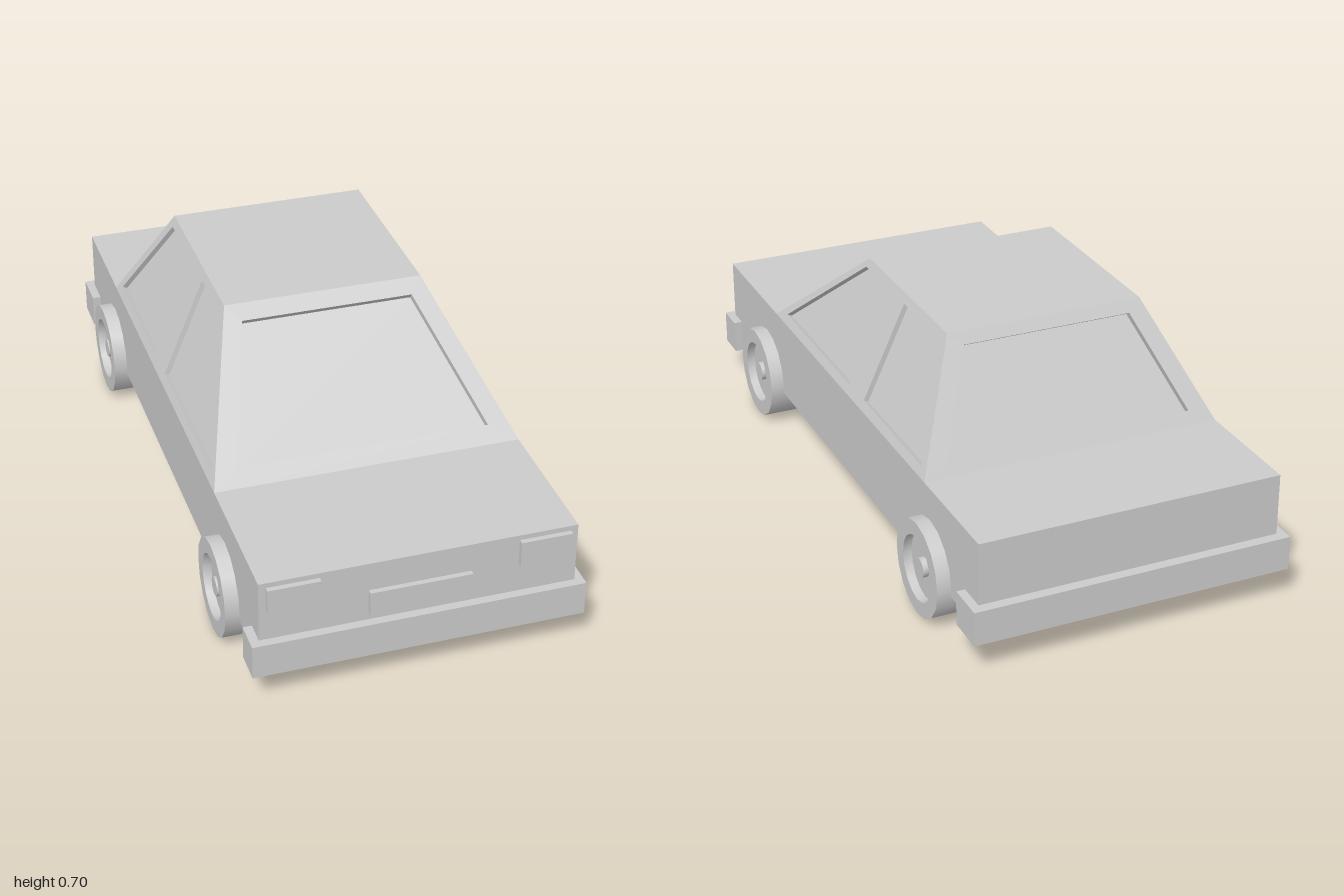
import * as THREE from 'three';
import { toCreasedNormals, mergeGeometries } from 'three/addons/utils/BufferGeometryUtils.js';

const material = new THREE.MeshStandardMaterial({ color: 0xcccccc, side: THREE.DoubleSide });
const V = (x, y, z) => new THREE.Vector3(x, y, z);

function add(parent, geometry, name) {
  const mesh = new THREE.Mesh(geometry, material);
  mesh.name = name;
  parent.add(mesh);
  return mesh;
}

// Mirrored copy on the model's right
function mirror(parent, object, name) {
  const copy = object.clone();
  copy.scale.x = -1;
  copy.name = name;
  parent.add(copy);
}

// Flat sheet through 3D corners (counter-clockwise from outside);
// each opening is filled by a pane sunk by depth (negative: raised), with rim walls
function sheet(corners, openings = [], depth = 0) {
  const ax = corners[1].clone().sub(corners[0]).normalize();
  const n = ax.clone().cross(corners[2].clone().sub(corners[0])).normalize();
  const frame = new THREE.Matrix4().makeBasis(ax, n.clone().cross(ax), n).setPosition(corners[0]);
  const inverse = frame.clone().invert();
  const flat = (pts) => pts.map((p) => {
    const q = p.clone().applyMatrix4(inverse);
    return new THREE.Vector2(q.x, q.y);
  });
  const shape = new THREE.Shape(flat(corners));
  const parts = [];
  for (const opening of openings) {
    const pts = flat(opening);
    shape.holes.push(new THREE.Path(pts));
    parts.push(new THREE.ShapeGeometry(new THREE.Shape(pts)).translate(0, 0, -depth));
    pts.forEach((a, i) => {
      const b = pts[(i + 1) % pts.length];
      const wall = new THREE.PlaneGeometry(a.distanceTo(b), Math.abs(depth));
      wall.rotateX(depth > 0 ? -Math.PI / 2 : Math.PI / 2);
      wall.rotateZ(Math.atan2(b.y - a.y, b.x - a.x));
      parts.push(wall.translate((a.x + b.x) / 2, (a.y + b.y) / 2, -depth / 2));
    });
  }
  parts.push(new THREE.ShapeGeometry(shape));
  return mergeGeometries(parts).applyMatrix4(frame);
}

export function createModel() {
  const car = new THREE.Group();
  car.name = 'car';

  const W = 0.44, R = 0.29;             // half widths at belt and roof
  const sill = 0.12, belt = 0.375, roof = 0.7;
  const nose = 0.975, tail = -0.97;
  const f0 = 0.55, f1 = 0.13, b0 = -0.62, b1 = -0.43; // cabin ends at belt and roof

  // Lower body, open underneath
  const body = new THREE.Group();
  body.name = 'body';
  car.add(body);
  const plate = (x0, x1, y0, y1) => [V(x0, y0, nose), V(x1, y0, nose), V(x1, y1, nose), V(x0, y1, nose)];
  add(body, sheet(plate(-W, W, sill, belt), [
    plate(-0.42, -0.275, 0.285, 0.36),
    plate(0.275, 0.42, 0.285, 0.36),
    plate(-0.142, 0.142, 0.215, 0.29),
  ], -0.015), 'frontPanelWithHeadlights');
  add(body, sheet([V(W, sill, tail), V(-W, sill, tail), V(-W, belt, tail), V(W, belt, tail)]), 'rearPanel');
  const deck = (za, zb) => sheet([V(-W, belt, za), V(W, belt, za), V(W, belt, zb), V(-W, belt, zb)]);
  add(body, deck(nose, f0), 'hood');
  add(body, deck(b0, tail), 'trunkLid');
  const side = add(body, sheet([V(W, sill, nose), V(W, sill, tail), V(W, belt, tail), V(W, belt, nose)]), 'leftSide');
  mirror(body, side, 'rightSide');

  // Cabin with sunk windows
  const cabin = new THREE.Group();
  cabin.name = 'cabin';
  car.add(cabin);
  const t = (y) => (y - belt) / (roof - belt);
  const endPanel = (zLow, zHigh, s) => {
    const at = (x, y) => V(x * s, y, zLow + (zHigh - zLow) * t(y));
    return sheet([at(-W, belt), at(W, belt), at(R, roof), at(-R, roof)],
      [[at(-0.365, 0.41), at(0.365, 0.41), at(0.25, 0.667), at(-0.25, 0.667)]], 0.02);
  };
  add(cabin, endPanel(f0, f1, 1), 'windshield');
  add(cabin, endPanel(b0, b1, -1), 'rearWindow');
  add(cabin, sheet([V(-R, roof, f1), V(R, roof, f1), V(R, roof, b1), V(-R, roof, b1)]), 'roof');
  const onSide = ([z, y]) => V(W + (R - W) * t(y), y, z);
  const windows = add(cabin, sheet(
    [[f0, belt], [b0, belt], [b1, roof], [f1, roof]].map(onSide),
    [
      [[0.48, 0.4], [-0.04, 0.4], [-0.068, 0.675], [0.13, 0.675]].map(onSide),
      [[-0.155, 0.4], [-0.575, 0.4], [-0.41, 0.675], [-0.155, 0.675]].map(onSide),
    ], 0.015), 'leftSideWindows');
  mirror(cabin, windows, 'rightSideWindows');

  // Wrap-around bumpers: U-shaped plan, extruded upwards
  const bumper = (zIn, zFace, zOut, name) => {
    const o = 0.465;
    const plan = [[-o, zIn], [-o, zOut], [o, zOut], [o, zIn], [W, zIn], [W, zFace], [-W, zFace], [-W, zIn]];
    const shape = new THREE.Shape(plan.map(([x, z]) => new THREE.Vector2(x, -z)));
    const geo = new THREE.ExtrudeGeometry(shape, { depth: 0.1, bevelEnabled: false });
    add(car, geo.rotateX(-Math.PI / 2).translate(0, 0.095, 0), name);
  };
  bumper(0.91, nose, 1, 'frontBumper');
  bumper(-0.885, tail, -1, 'rearBumper');

  // Wheels: tyre, sunk rim and hub in one profile, open on the inner side
  const profile = [[0.14, 0.308], [0.14, 0.48], [0.095, 0.48], [0.095, 0.455], [0.028, 0.455], [0.028, 0.472], [0, 0.472]];
  const lathe = new THREE.LatheGeometry(profile.map(([r, x]) => new THREE.Vector2(r, x)), 16);
  const wheelGeometry = toCreasedNormals(lathe.rotateZ(-Math.PI / 2), 0.6);
  for (const [z, end] of [[0.65, 'Front'], [-0.655, 'Rear']]) {
    const wheel = add(car, wheelGeometry, `left${end}Wheel`);
    wheel.position.set(0, 0.14, z);
    mirror(car, wheel, `right${end}Wheel`);
  }

  return car;
}
